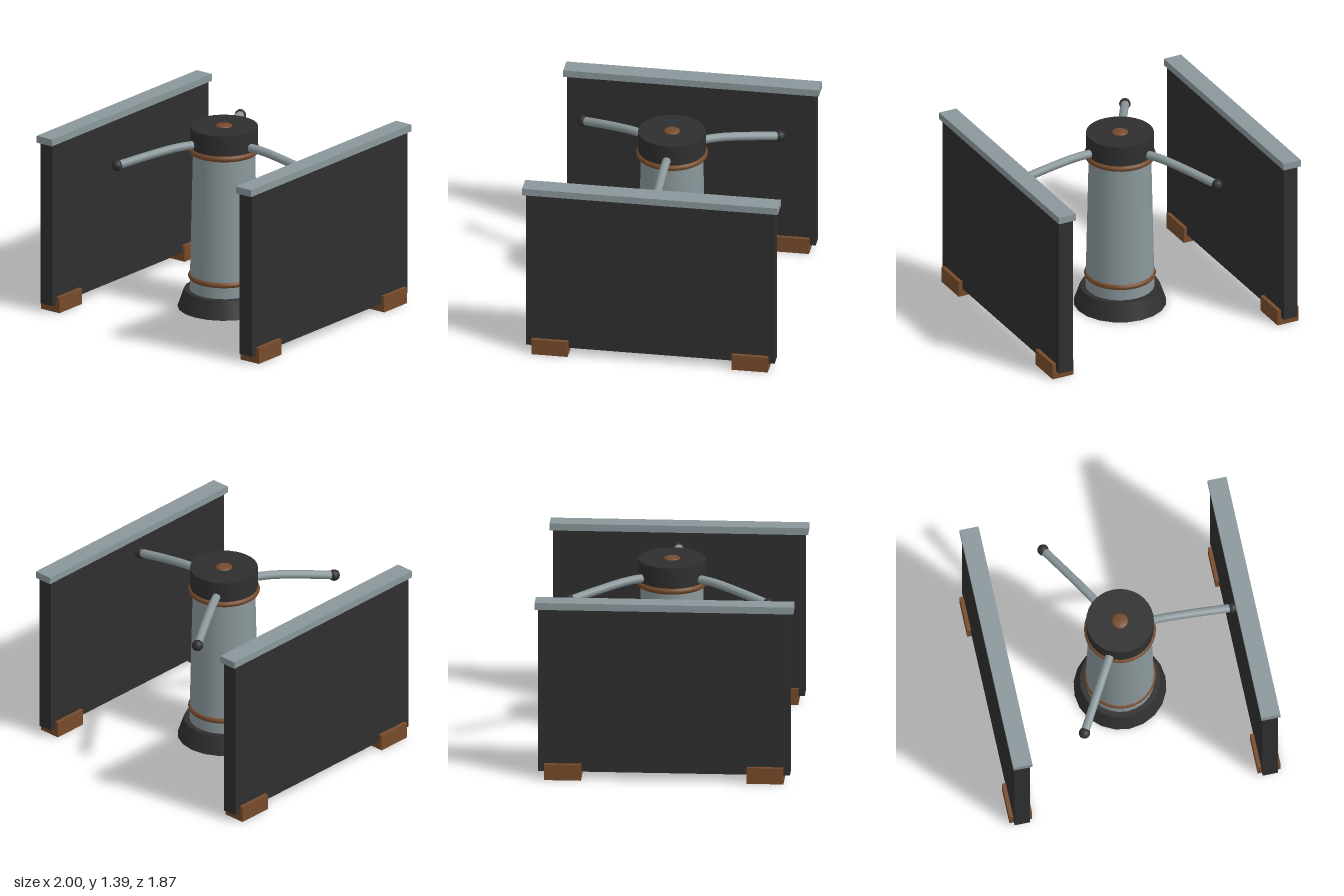
import * as THREE from 'three';

export function createModel() {
  const model = new THREE.Group();
  const mat = (name, color) => {
    const m = new THREE.MeshStandardMaterial({ color });
    m.name = name;
    return m;
  };
  const dark = mat('charcoal', 0x2f2f2f);
  const steel = mat('steel grey', 0x8a979b);
  const bronze = mat('bronze', 0x774b2b);

  const add = (parent, name, geometry, material, x = 0, y = 0, z = 0) => {
    const mesh = new THREE.Mesh(geometry, material);
    mesh.name = name;
    mesh.position.set(x, y, z);
    parent.add(mesh);
    return mesh;
  };

  // Central post
  const post = new THREE.Group();
  post.name = 'post';
  model.add(post);
  add(post, 'base', new THREE.CylinderGeometry(0.29, 0.336, 0.135, 20), dark, 0, 0.0675);
  add(post, 'column', new THREE.CylinderGeometry(0.225, 0.25, 1.105, 24), steel, 0, 0.6775);
  for (const [name, y] of [['lowerRing', 0.238], ['upperRing', 1.2]]) {
    add(post, name, new THREE.TorusGeometry(0.236, 0.024, 10, 32), bronze, 0, y).rotation.x = Math.PI / 2;
  }
  add(post, 'head', new THREE.CylinderGeometry(0.245, 0.245, 0.165, 32), dark, 0, 1.2925);

  // Domed cap button
  const dome = new THREE.SphereGeometry(0.06, 20, 6, 0, Math.PI * 2, 0, Math.PI / 2);
  add(post, 'button', dome, bronze, 0, 1.373).scale.y = 0.3;

  // Three drooping arms with knobs
  const path = new THREE.CatmullRomCurve3([
    new THREE.Vector3(0.18, 1.257, 0),
    new THREE.Vector3(0.36, 1.253, 0),
    new THREE.Vector3(0.58, 1.222, 0),
    new THREE.Vector3(0.83, 1.176, 0),
  ]);
  const armGeometry = new THREE.TubeGeometry(path, 16, 0.031, 12);
  const knobGeometry = new THREE.SphereGeometry(0.042, 12, 8);
  for (let i = 0; i < 3; i++) {
    const arm = new THREE.Group();
    arm.name = 'arm' + (i + 1);
    arm.rotation.y = (i * Math.PI * 2) / 3;
    add(arm, 'bar', armGeometry, steel);
    add(arm, 'knob', knobGeometry, dark, 0.83, 1.176);
    model.add(arm);
  }

  // Side barriers, mirrored
  for (const side of [-1, 1]) {
    const barrier = new THREE.Group();
    barrier.name = side > 0 ? 'leftBarrier' : 'rightBarrier';
    model.add(barrier);
    add(barrier, 'panel', new THREE.BoxGeometry(0.112, 1.23, 1.82), dark, side * 0.915, 0.675);
    add(barrier, 'topRail', new THREE.BoxGeometry(0.14, 0.052, 1.87), steel, side * 0.915, 1.314);
    for (const end of [-1, 1]) {
      add(barrier, end > 0 ? 'frontFoot' : 'backFoot',
        new THREE.BoxGeometry(0.168, 0.12, 0.266), bronze, side * 0.916, 0.06, end * 0.732);
    }
  }
  return model;
}
